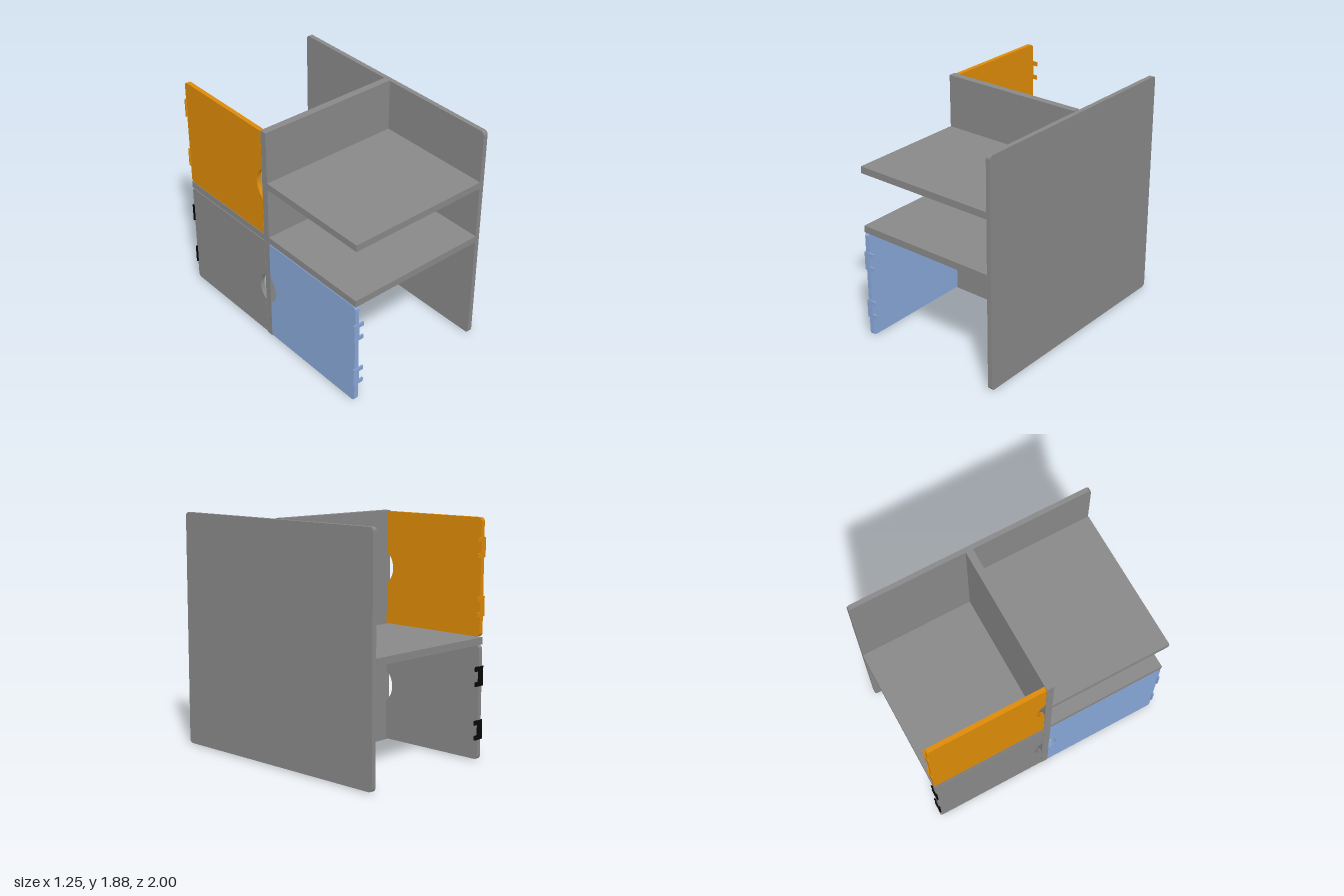
import * as THREE from 'three';

const grey = new THREE.MeshStandardMaterial({ color: 0x888888 });
const blue = new THREE.MeshStandardMaterial({ color: 0x87a6d6 });
const orange = new THREE.MeshStandardMaterial({ color: 0xdc8a08 });
const black = new THREE.MeshStandardMaterial({ color: 0x080808 });

// Board given by its minimum and maximum corners
function board(name, min, max) {
  const size = max.map((v, i) => v - min[i]);
  const mesh = new THREE.Mesh(new THREE.BoxGeometry(...size), grey);
  mesh.position.set(...min.map((v, i) => v + size[i] / 2));
  mesh.name = name;
  return mesh;
}

// Upright panel: an outline in the z-y plane, x0 to x1 thick
function panelGeometry(points, x0, x1) {
  const geometry = new THREE.ExtrudeGeometry(new THREE.Shape(points), {
    depth: x1 - x0, bevelEnabled: false,
  });
  return geometry.rotateY(-Math.PI / 2).translate(x1, 0, 0);
}

// Side door; dir is +1 towards the front, -1 towards the back
function sideDoor(name, dir, zInner, y0, y1, clipHeights, material, clipMaterial) {
  const group = new THREE.Group();
  group.name = name;
  const zOuter = 0.994, r = 0.03, mid = (y0 + y1) / 2;
  const chord = 0.125, depth = 0.065;
  const radius = (chord * chord + depth * depth) / (2 * depth);
  const angle = Math.asin(chord / radius);

  // Rounded outer corners, and a finger notch in the inner edge
  const s = new THREE.Shape();
  s.moveTo(zInner, y0);
  s.lineTo(zOuter - r, y0);
  s.absarc(zOuter - r, y0 + r, r, -Math.PI / 2, 0, false);
  s.absarc(zOuter - r, y1 - r, r, 0, Math.PI / 2, false);
  s.lineTo(zInner, y1);
  s.absarc(zInner + depth - radius, mid, radius, angle, -angle, true);
  const points = s.getPoints(10).map((p) => new THREE.Vector2(p.x * dir, p.y));
  const leaf = new THREE.Mesh(panelGeometry(points, -0.613, -0.577), material);
  leaf.name = 'doorPanel';
  group.add(leaf);

  // Two pronged clips on the outer edge
  const clip = new THREE.Shape([
    [-0.625, 0], [-0.535, 0], [-0.535, 0.035], [-0.575, 0.035], [-0.575, 0.118],
    [-0.535, 0.118], [-0.535, 0.153], [-0.625, 0.153],
  ].map(([x, y]) => new THREE.Vector2(x, y)));
  for (const y of clipHeights) {
    const mesh = new THREE.Mesh(
      new THREE.ExtrudeGeometry(clip, { depth: 0.012, bevelEnabled: false }), clipMaterial);
    mesh.position.set(0, y, dir > 0 ? 0.987 : -0.999);
    mesh.name = 'clip';
    group.add(mesh);
  }
  return group;
}

export function createModel() {
  const model = new THREE.Group();
  model.name = 'partitionedShelfUnit';

  // Large side wall with rounded corners
  const r = 0.03, z = 0.994, bottom = 0.008, top = 1.872;
  const wall = new THREE.Shape();
  wall.absarc(z - r, bottom + r, r, -Math.PI / 2, 0, false);
  wall.absarc(z - r, top - r, r, 0, Math.PI / 2, false);
  wall.absarc(-z + r, top - r, r, Math.PI / 2, Math.PI, false);
  wall.absarc(-z + r, bottom + r, r, Math.PI, Math.PI * 1.5, false);
  const sideWall = new THREE.Mesh(panelGeometry(wall.getPoints(8), 0.586, 0.624), grey);
  sideWall.name = 'sideWall';

  // Divider and shelves
  model.add(
    sideWall,
    board('lowerDivider', [-0.613, 0, -0.053], [0.584, 0.907, 0.005]),
    board('upperDivider', [-0.613, 0.963, -0.053], [0.584, 1.877, 0.005]),
    board('middleShelf', [-0.613, 0.907, -0.996], [0.584, 0.963, 0.996]),
    board('upperFrontShelf', [-0.613, 1.395, 0.005], [0.584, 1.45, 0.996]),
  );

  // Side doors
  model.add(
    sideDoor('frontLowerDoor', 1, 0.007, 0.01, 0.9, [0.168, 0.587], blue, blue),
    sideDoor('backLowerDoor', -1, 0.055, 0.01, 0.9, [0.168, 0.587], grey, black),
    sideDoor('backUpperDoor', -1, 0.055, 0.968, 1.87, [1.123, 1.57], orange, orange),
  );
  return model;
}
